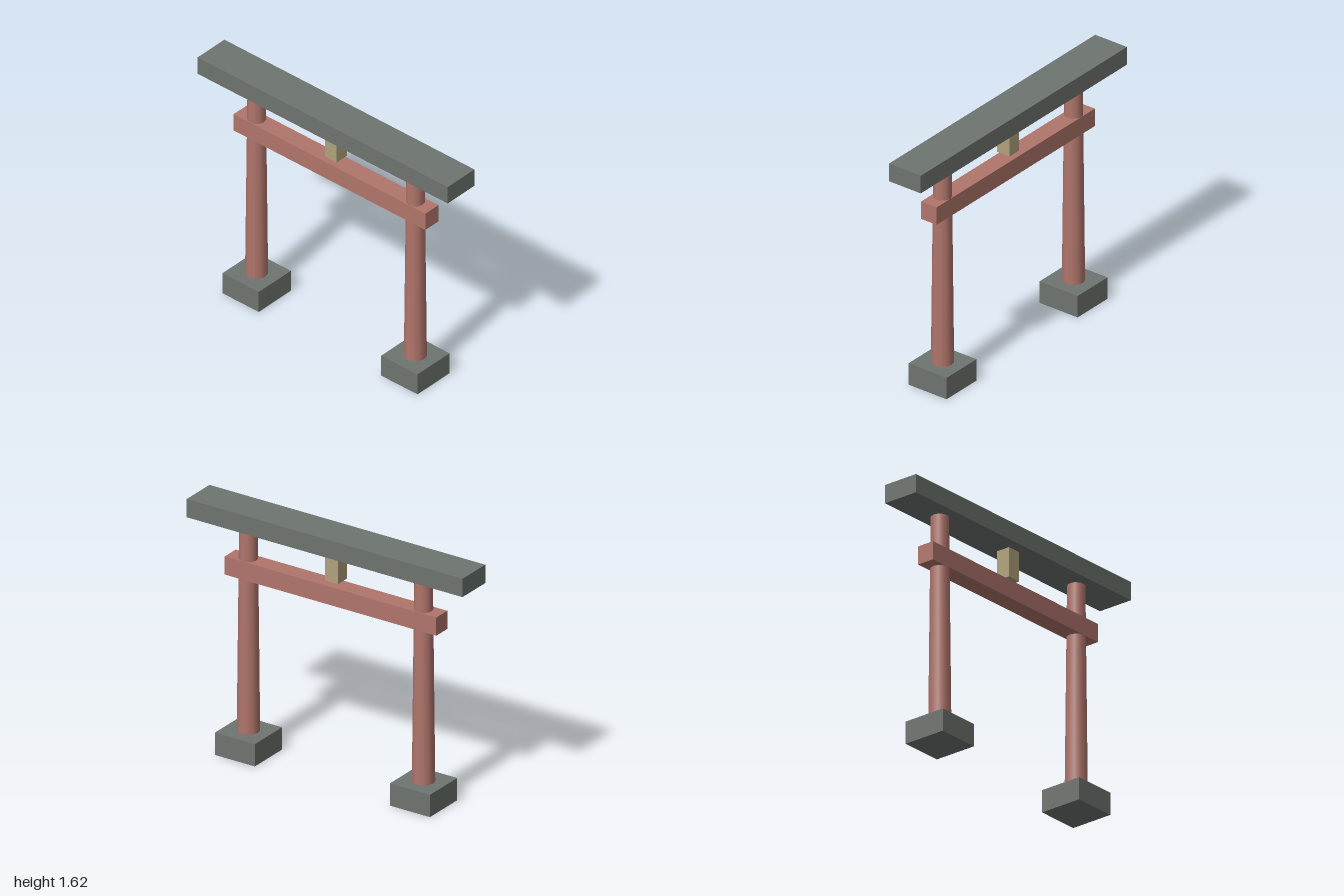
import * as THREE from 'three';

export function createModel() {
  const group = new THREE.Group();
  const material = (name, color) => {
    const m = new THREE.MeshStandardMaterial({ color });
    m.name = name;
    return m;
  };
  const stone = material('grey stone', 0x6e746f);
  const wood = material('red wood', 0xb0756b);
  const plaque = material('pale tan', 0xb0a27c);

  const add = (name, geometry, mat, x, y) => {
    const mesh = new THREE.Mesh(geometry, mat);
    mesh.name = name;
    mesh.position.set(x, y, 0);
    group.add(mesh);
  };
  // box given by its width, depth and bottom and top heights
  const box = (name, mat, x, width, depth, y0, y1) =>
    add(name, new THREE.BoxGeometry(width, y1 - y0, depth), mat, x, (y0 + y1) / 2);

  // footings and tapered pillars
  for (const [side, x] of [['left', 0.635], ['right', -0.635]]) {
    box(side + 'Footing', stone, x, 0.29, 0.29, 0, 0.147);
    const bottom = 0.01, top = 1.52;
    add(side + 'Pillar', new THREE.CylinderGeometry(0.056, 0.072, top - bottom, 12), wood, x, (bottom + top) / 2);
  }

  // tie beam, top lintel and the short hanging block between them
  box('tieBeam', wood, 0, 1.534, 0.118, 1.163, 1.283);
  box('topLintel', stone, 0, 2, 0.242, 1.504, 1.625);
  box('centreBlock', plaque, 0, 0.094, 0.096, 1.31, 1.51);

  return group;
}
